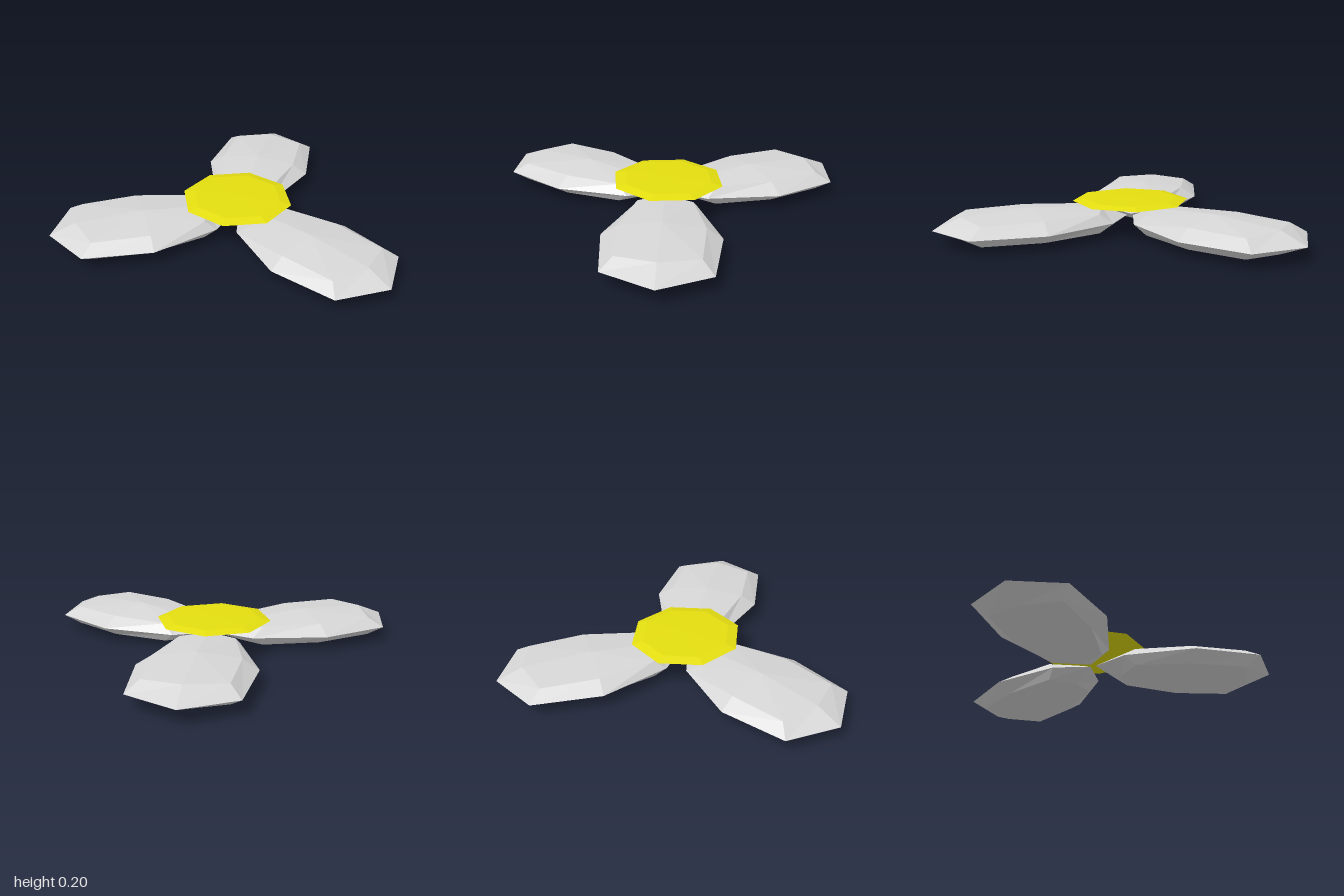
import * as THREE from 'three';

// Faceted lens: top apex, upper ring, rim, lower ring, bottom apex.
// Ring points are [x, y, z] going round from +x towards +z.
function lens(rim, ring, centreX, halfHeight) {
  const n = rim.length;
  const loop = (x, y, z) => Array.from({ length: n }, () => [x, y, z]);
  const loops = [
    loop(centreX, halfHeight, 0),
    ring,
    rim,
    ring.map(([x, y, z]) => [x, -y, z]),
    loop(centreX, -halfHeight, 0),
  ];
  const pos = [];
  for (let r = 0; r < 4; r++) {
    const up = loops[r], low = loops[r + 1];
    for (let k = 0; k < n; k++) {
      const m = (k + 1) % n;
      if (r < 3) pos.push(...up[k], ...low[m], ...low[k]);
      if (r > 0) pos.push(...up[k], ...up[m], ...low[m]);
    }
  }
  const g = new THREE.BufferGeometry();
  g.setAttribute('position', new THREE.Float32BufferAttribute(pos, 3));
  g.computeVertexNormals(); // unshared corners give flat facets
  return g;
}

// Half outline from tip to root, mirrored across the petal's long axis
function mirrored(half) {
  const back = half.slice(1, -1).reverse().map(([x, y, z]) => [x, y, -z]);
  return [...half, ...back];
}

export function createModel() {
  const petalGrey = new THREE.MeshStandardMaterial({ color: 0xd6d6d6 });
  petalGrey.name = 'petalGrey';
  const centreYellow = new THREE.MeshStandardMaterial({ color: 0xe4de10 });
  centreYellow.name = 'centreYellow';

  const model = new THREE.Group();
  model.name = 'flower';
  const flower = new THREE.Group();
  flower.name = 'blossom';
  flower.position.set(0.16, 0, -0.037);
  model.add(flower);

  // Three petals, wide at the tip and narrow at the root
  const petalGeometry = lens(
    mirrored([[1.137, 0, 0], [0.986, 0, 0.287], [0.579, 0, 0.329], [0.172, 0, 0.18], [0.02, 0, 0]]),
    mirrored([[0.982, 0.064, 0], [0.915, 0.054, 0.222], [0.579, 0.058, 0.239], [0.243, 0.054, 0.16], [0.176, 0.064, 0]]),
    0.579, 0.088);
  for (let i = 0; i < 3; i++) {
    const petal = new THREE.Mesh(petalGeometry, petalGrey);
    petal.name = 'petal' + (i + 1);
    petal.position.y = 0.089;
    petal.rotation.y = THREE.MathUtils.degToRad(173.8 + i * 120);
    flower.add(petal);
  }

  // Flattened eight-sided centre
  const octagon = (r, y) => Array.from({ length: 8 }, (_, k) => {
    const a = k * Math.PI / 4;
    return [r * Math.cos(a), y, r * Math.sin(a)];
  });
  const centre = new THREE.Mesh(lens(octagon(0.335, 0), octagon(0.27, 0.014), 0, 0.02), centreYellow);
  centre.name = 'flowerCentre';
  centre.position.y = 0.178;
  centre.rotation.y = THREE.MathUtils.degToRad(9);
  flower.add(centre);

  return model;
}
